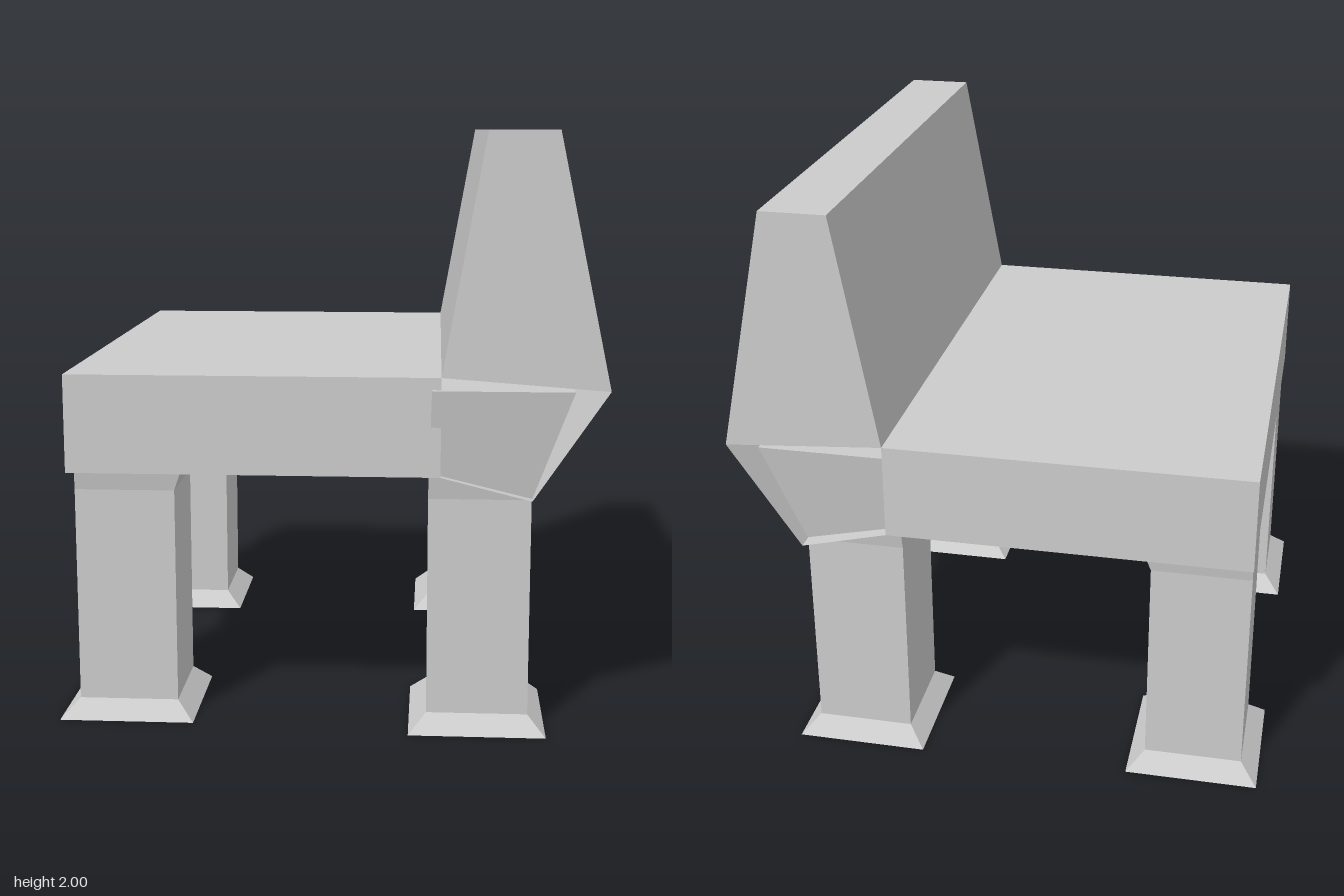
import * as THREE from 'three';

const BACK_Z = -0.91, FRONT_Z = 0.89, DEPTH = FRONT_Z - BACK_Z;

// Flat-faced geometry from a list of quads, each with four corners anticlockwise
function fromQuads(quads) {
  const pos = [];
  for (const [a, b, c, d] of quads) pos.push(...a, ...b, ...c, ...a, ...c, ...d);
  const g = new THREE.BufferGeometry();
  g.setAttribute('position', new THREE.Float32BufferAttribute(pos, 3));
  g.computeVertexNormals();
  return g;
}

// Closed solid through stacked rectangles [y, x0, x1, z0, z1]
function loft(levels) {
  const rings = levels.map(([y, x0, x1, z0, z1]) =>
    [[x0, y, z0], [x0, y, z1], [x1, y, z1], [x1, y, z0]]);
  const quads = [[...rings[0]].reverse(), rings[rings.length - 1]];
  for (let k = 0; k < rings.length - 1; k++) {
    for (let i = 0; i < 4; i++) {
      const j = (i + 1) % 4;
      quads.push([rings[k][i], rings[k][j], rings[k + 1][j], rings[k + 1][i]]);
    }
  }
  return fromQuads(quads);
}

export function createModel() {
  const group = new THREE.Group();
  const solid = new THREE.MeshStandardMaterial({ color: 0xcccccc, flatShading: true });
  const thin = new THREE.MeshStandardMaterial({ color: 0xcccccc, flatShading: true, side: THREE.DoubleSide });
  const add = (name, geometry, material = solid) => {
    const mesh = new THREE.Mesh(geometry, material);
    mesh.name = name;
    group.add(mesh);
    return mesh;
  };

  // Thick seat slab
  add('seat', new THREE.BoxGeometry(1.24, 0.33, DEPTH))
    .position.set(-0.25, 1.045, (BACK_Z + FRONT_Z) / 2);

  // Tapering backrest
  const profile = new THREE.Shape([[0.37, 1.21], [0.915, 1.17], [0.735, 2], [0.51, 2]]
    .map(([x, y]) => new THREE.Vector2(x, y)));
  add('backrest', new THREE.ExtrudeGeometry(profile, { depth: DEPTH, bevelEnabled: false }))
    .position.z = BACK_Z;

  // Open-ended panel joining the seat underside to the backrest
  const path = [[0.37, 0.88], [0.67, 0.805], [0.915, 1.17]];
  add('backrestSupport', fromQuads([0, 1].map((i) => {
    const [a, b] = [path[i], path[i + 1]];
    return [[...a, BACK_Z], [...b, BACK_Z], [...b, FRONT_Z], [...a, FRONT_Z]];
  })), thin);

  // Square legs with splayed feet and flared tops: x, inner z, outer z, side
  const legs = [
    ['seatLegLeft', -0.865, 0.45, 0.785, 1],
    ['seatLegRight', -0.865, 0.49, 0.83, -1],
    ['backrestLegLeft', 0.33, 0.51, 0.85, 1],
    ['backrestLegRight', 0.33, 0.51, 0.85, -1],
  ];
  for (const [name, x, inner, outer, side] of legs) {
    const level = (y, x0, x1, zi, zo) =>
      [y, x0, x1, ...(side > 0 ? [zi, zo] : [-zo, -zi])];
    add(name, loft([
      level(0, x - 0.06, x + 0.4, inner - 0.06, outer + 0.06),
      level(0.06, x, x + 0.34, inner, outer),
      level(0.8, x, x + 0.34, inner, outer),
      level(1.17, x + 0.01, x + 0.47, inner, outer + 0.06),
    ]));
  }

  return group;
}
